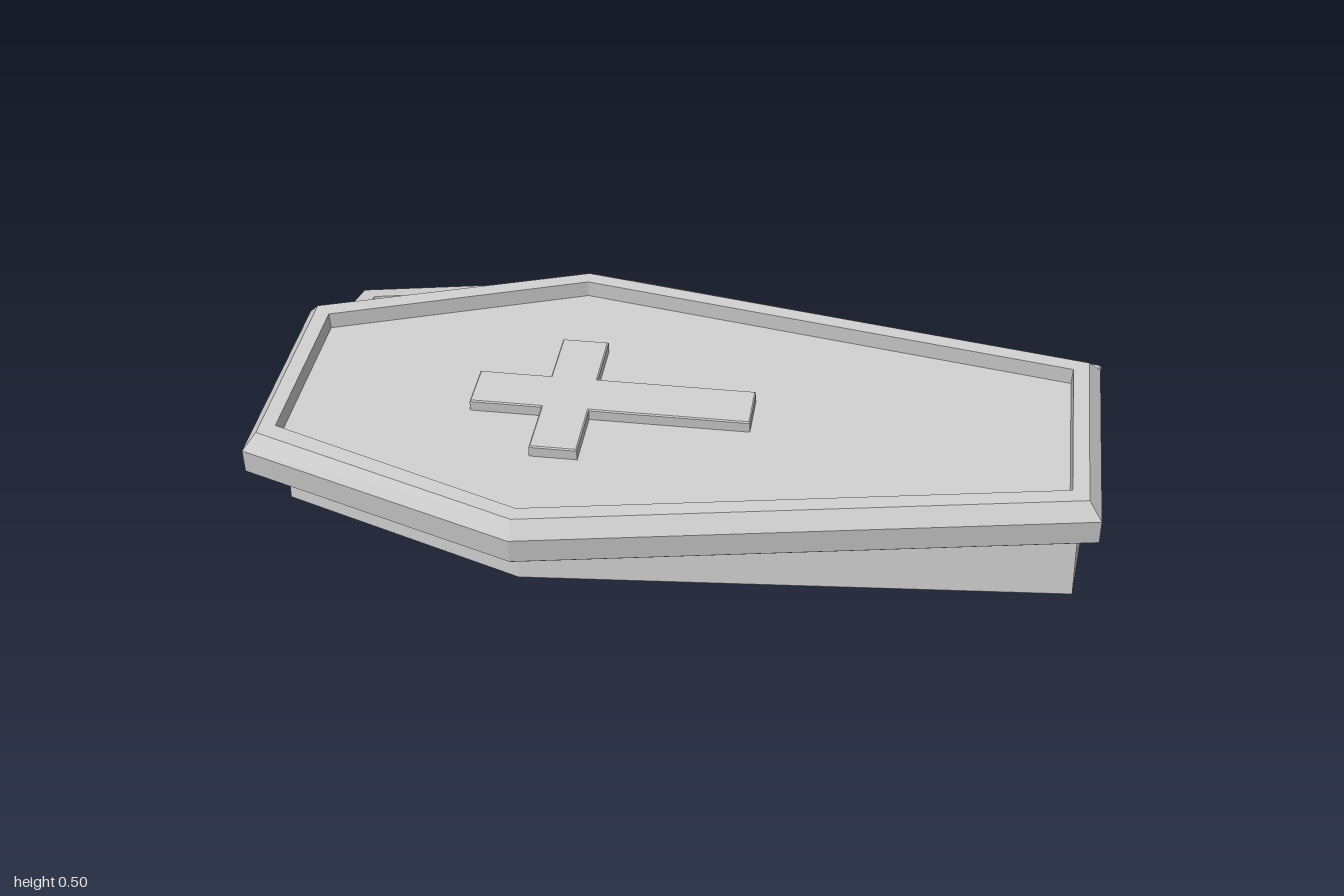
import * as THREE from 'three';

const material = new THREE.MeshStandardMaterial({ color: 0xcccccc, flatShading: true });

// Tapered six-sided outline, counter-clockwise from above, moved inward by d
function outline(d, y) {
  const end = 0.9725 - d, endZ = 0.281 - 0.85 * d;
  const shoulderX = -0.3025 + 0.08 * d, shoulderZ = 0.511 - 1.03 * d;
  return [
    [end, endZ], [end, -endZ], [shoulderX, -shoulderZ],
    [-end, -endZ], [-end, endZ], [shoulderX, shoulderZ],
  ].map(([x, z]) => new THREE.Vector3(x, y, z));
}

// Solid made of stacked outlines; profile is a list of [inset, height]
function loft(profile) {
  const rings = profile.map(([d, y]) => outline(d, y));
  const n = rings[0].length;
  const tris = [];
  for (let r = 0; r < rings.length - 1; r++) {
    const low = rings[r], high = rings[r + 1];
    for (let i = 0; i < n; i++) {
      const j = (i + 1) % n;
      tris.push(low[i], low[j], high[j], low[i], high[j], high[i]);
    }
  }
  const bottom = rings[0], top = rings[rings.length - 1];
  for (let i = 1; i < n - 1; i++) {
    tris.push(bottom[0], bottom[i + 1], bottom[i]);
    tris.push(top[0], top[i], top[i + 1]);
  }
  const geometry = new THREE.BufferGeometry().setFromPoints(tris);
  geometry.computeVertexNormals();
  return geometry;
}

function addMesh(parent, name, geometry) {
  const mesh = new THREE.Mesh(geometry, material);
  mesh.name = name;
  parent.add(mesh);
  return mesh;
}

// Flat cross lying along x, with its arms along z
function crossGeometry() {
  const head = -0.488, foot = 0.172, w = 0.06;
  const armA = -0.317, armB = -0.205, reach = 0.211;
  const shape = new THREE.Shape([
    [head, -w], [armA, -w], [armA, -reach], [armB, -reach], [armB, -w], [foot, -w],
    [foot, w], [armB, w], [armB, reach], [armA, reach], [armA, w], [head, w],
  ].map(([x, y]) => new THREE.Vector2(x, y)));
  return new THREE.ExtrudeGeometry(shape, {
    depth: 0.025, bevelEnabled: true, bevelThickness: 0.003,
    bevelSize: 0.003, bevelOffset: -0.003, bevelSegments: 1,
  }).rotateX(-Math.PI / 2);
}

export function createModel() {
  const model = new THREE.Group();
  model.name = 'coffin';

  // Hollow box with thin, slightly sloping inner walls
  const box = addMesh(model, 'box', loft([
    [0.005, 0], [0, 0.005], [0, 0.325], [0.005, 0.33],
    [0.045, 0.33], [0.058, 0.08],
  ]));
  box.position.set(-0.0275, 0, -0.144);

  // Lid pushed aside, leaning on the box
  const lid = new THREE.Group();
  lid.name = 'lid';
  lid.position.set(0.004, 0.31, 0.1225);
  lid.rotation.set(0.178, 0.09, -0.03);
  model.add(lid);

  // Chamfered rim around a sunken panel
  addMesh(lid, 'lidPanel', loft([
    [0.004, 0], [0, 0.004], [0, 0.063], [0.03, 0.1], [0.067, 0.1], [0.069, 0.06],
  ]));

  // Raised cross on the panel
  addMesh(lid, 'cross', crossGeometry()).position.y = 0.06;

  return model;
}
